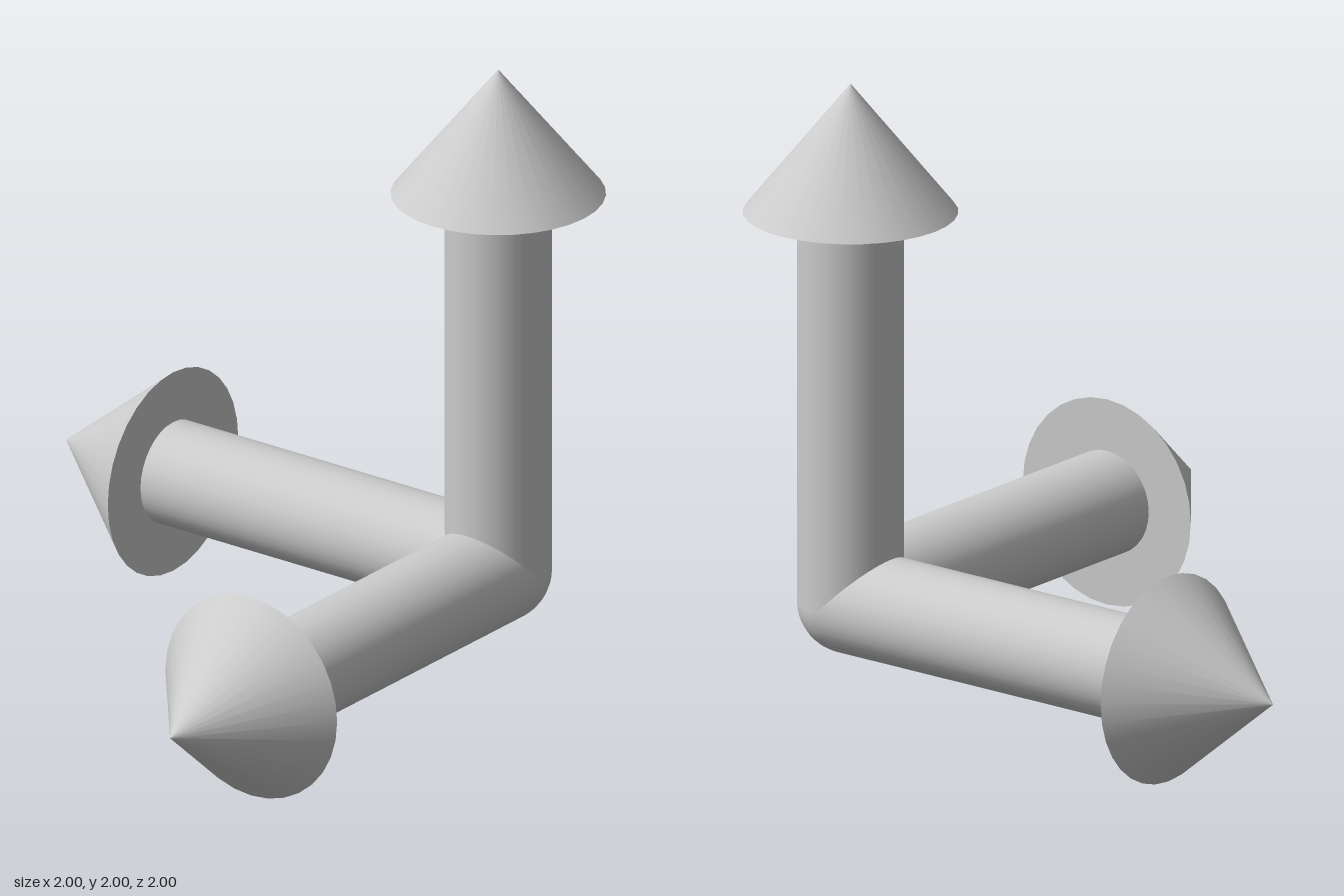
import * as THREE from 'three';

const SHAFT_RADIUS = 0.165;
const HEAD_RADIUS = 0.331;
const HEAD_BASE = 1.253; // distance from the corner to the head's base
const TIP = 1.665;       // distance from the corner to the tip

export function createModel() {
  const model = new THREE.Group();
  model.name = 'axisArrows';
  const material = new THREE.MeshStandardMaterial({ color: 0xcccccc });

  const addMesh = (parent, name, geometry) => {
    const mesh = new THREE.Mesh(geometry, material);
    mesh.name = name;
    parent.add(mesh);
  };

  // One arrow along +y: a round shaft and a wide cone head with a closed base
  const makeArrow = (name) => {
    const arrow = new THREE.Group();
    arrow.name = name;
    const shaft = new THREE.CylinderGeometry(SHAFT_RADIUS, SHAFT_RADIUS, HEAD_BASE, 32, 1, true);
    shaft.translate(0, HEAD_BASE / 2, 0);
    addMesh(arrow, 'shaft', shaft);
    const head = new THREE.ConeGeometry(HEAD_RADIUS, TIP - HEAD_BASE, 32);
    head.translate(0, (HEAD_BASE + TIP) / 2, 0);
    addMesh(arrow, 'head', head);
    model.add(arrow);
    return arrow;
  };

  // Three arrows at right angles, sharing one corner
  makeArrow('upArrow');
  makeArrow('rightArrow').rotation.z = Math.PI / 2;
  makeArrow('frontArrow').rotation.x = Math.PI / 2;

  // Ball that rounds off the shared corner
  addMesh(model, 'cornerBall', new THREE.SphereGeometry(SHAFT_RADIUS, 32, 24));

  model.position.set(0.665, 0.335, -0.665);
  const root = new THREE.Group();
  root.name = 'arrowTriad';
  root.add(model);
  return root;
}
